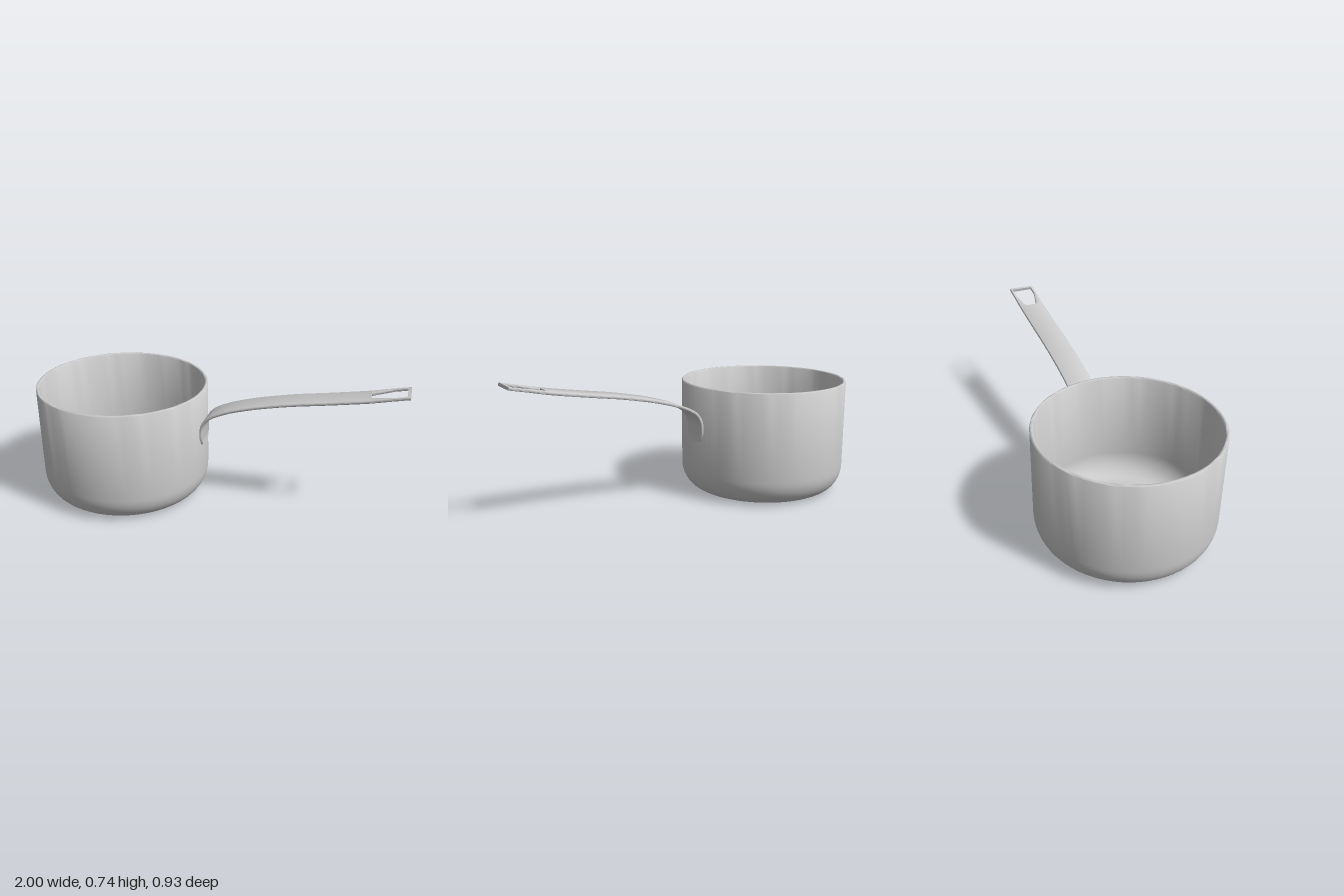
import * as THREE from 'three';
import { toCreasedNormals } from 'three/addons/utils/BufferGeometryUtils.js';

const material = new THREE.MeshStandardMaterial({ color: 0xcccccc });
const PAN_X = -0.533, R = 0.467, H = 0.627, WALL = 0.017;

// Quarter-ellipse points from the flat floor up to the straight wall
function corner(radius, floorY, rx, ry, n = 10) {
  return Array.from({ length: n + 1 }, (_, i) => {
    const a = (i / n) * Math.PI / 2;
    return new THREE.Vector2(radius - rx + rx * Math.sin(a), floorY + ry * (1 - Math.cos(a)));
  });
}

// Hollow pan body: outside going up, over the rim, inside going down
function createPan() {
  const inner = R - WALL;
  const profile = [
    new THREE.Vector2(0, 0),
    ...corner(R, 0, 0.11, 0.14),
    new THREE.Vector2(R, H - 0.005),
    new THREE.Vector2(R - 0.004, H),
    new THREE.Vector2(inner + 0.004, H),
    new THREE.Vector2(inner, H - 0.005),
    ...corner(inner, WALL, 0.1, 0.13).reverse(),
    new THREE.Vector2(0, WALL),
  ];
  const pan = new THREE.Mesh(toCreasedNormals(new THREE.LatheGeometry(profile, 64), 0.9), material);
  pan.name = 'panBody';
  pan.position.x = PAN_X;
  return pan;
}

// Centre line of the handle, from the mounting tab to the hanging end
const path = new THREE.CatmullRomCurve3([
  [-0.066, 0.316], [-0.064, 0.38], [-0.059, 0.44], [-0.03, 0.486], [0.05, 0.53], [0.2, 0.578],
  [0.4, 0.622], [0.6, 0.655], [0.8, 0.69], [0.9, 0.712], [0.994, 0.732],
].map(([x, y]) => new THREE.Vector3(x, y, 0)), false, 'centripetal');

// Linear interpolation through [u, value] pairs
function lerpTable(table, u) {
  for (let i = 1; i < table.length; i++) {
    const [u0, v0] = table[i - 1], [u1, v1] = table[i];
    if (u <= u1) return v0 + (v1 - v0) * (u - u0) / (u1 - u0);
  }
  return table[table.length - 1][1];
}

const halfWidth = (u) => lerpTable([[0, 0.012], [0.007, 0.05], [0.04, 0.071], [1, 0.071]], u);
const holeHalf = (u) => lerpTable([[0.844, 0.03], [0.934, 0.057], [1, 0.057]], u);

// Bevelled cross-section between z0 and z1 at position u on the path
function section(u, z0, z1) {
  const p = path.getPointAt(u), t = path.getTangentAt(u);
  const h = 0.008, c = 0.004;
  const wrap = 1 - THREE.MathUtils.smoothstep(p.y, 0.4, 0.5);
  return [
    [z0, c - h], [z0 + c, -h], [z1 - c, -h], [z1, c - h],
    [z1, h - c], [z1 - c, h], [z0 + c, h], [z0, h - c],
  ].map(([z, n]) => [p.x - t.y * n - wrap * z * z / (2 * R), p.y + t.x * n, z]);
}

// Closed bar along the path; left and right give its z limits at u
function addBar(out, stations, left, right) {
  const rings = stations.map((u) => section(u, left(u), right(u)));
  const tri = (a, b, c) => out.push(...a, ...b, ...c);
  for (let i = 0; i < rings.length - 1; i++) {
    const A = rings[i], B = rings[i + 1];
    for (let j = 0; j < 8; j++) {
      const k = (j + 1) % 8;
      tri(A[j], B[j], A[k]);
      tri(A[k], B[j], B[k]);
    }
  }
  const first = rings[0], last = rings[rings.length - 1];
  for (let j = 1; j < 7; j++) {
    tri(first[0], first[j], first[j + 1]);
    tri(last[0], last[j + 1], last[j]);
  }
}

const range = (a, b, n) => Array.from({ length: n + 1 }, (_, i) => a + (b - a) * i / n);

// Bent strip handle with a hanging hole framed by two rails and an end bar
function createHandle() {
  const HOLE_START = 0.844, HOLE_WIDE = 0.934, HOLE_END = 0.988;
  const positions = [];
  const minus = (u) => -halfWidth(u);
  addBar(positions, [0, 0.007, 0.022, ...range(0.04, HOLE_START, 56)], minus, halfWidth);
  const rails = [...range(HOLE_START, HOLE_WIDE, 5), ...range(HOLE_WIDE, HOLE_END, 3).slice(1)];
  addBar(positions, rails, holeHalf, halfWidth);
  addBar(positions, rails, minus, (u) => -holeHalf(u));
  addBar(positions, [HOLE_END, 1], minus, halfWidth);

  const geometry = new THREE.BufferGeometry();
  geometry.setAttribute('position', new THREE.Float32BufferAttribute(positions, 3));
  const handle = new THREE.Mesh(toCreasedNormals(geometry, 0.9), material);
  handle.name = 'handle';
  return handle;
}

export function createModel() {
  const group = new THREE.Group();
  group.name = 'saucepan';
  group.add(createPan(), createHandle());
  return group;
}
